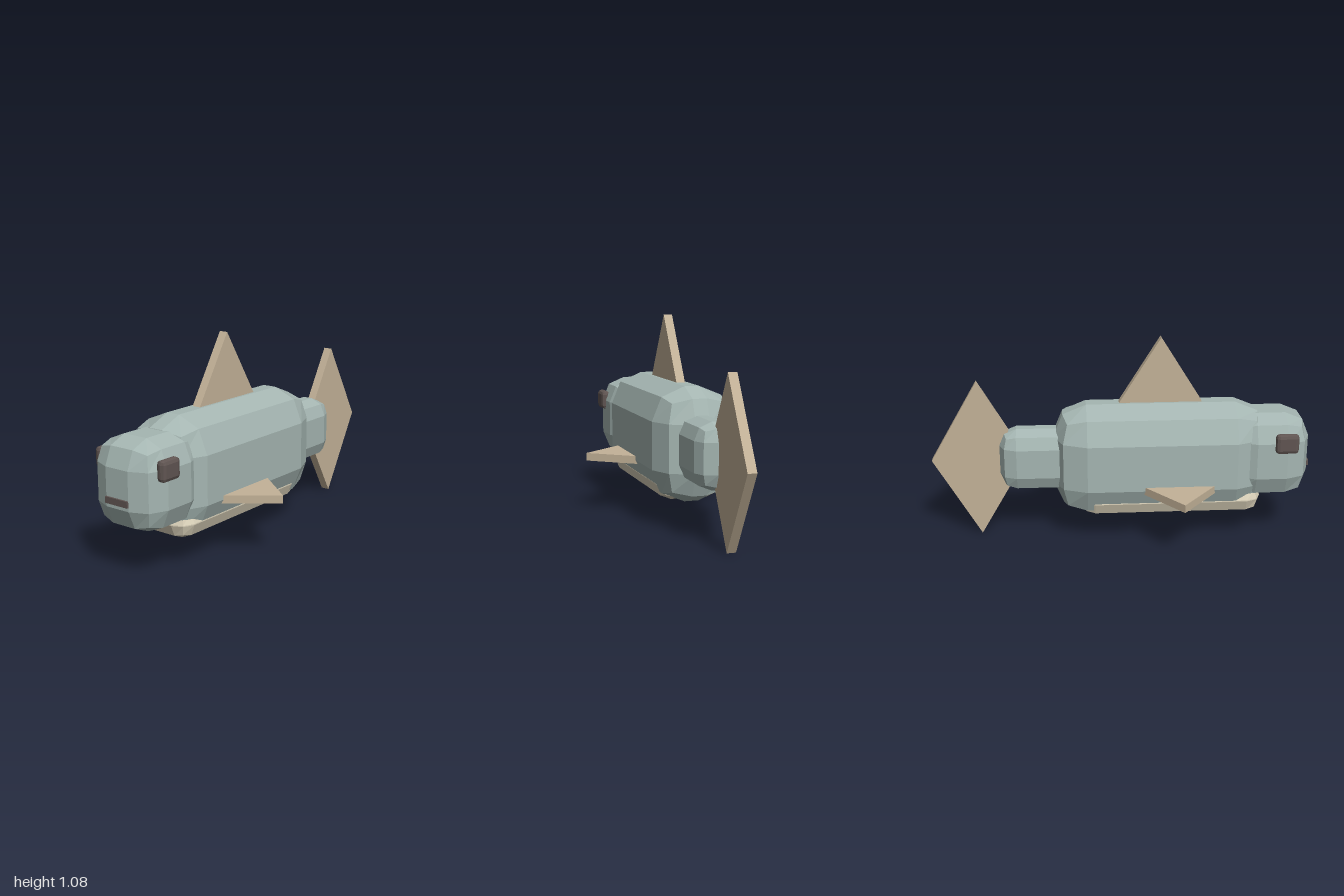
import * as THREE from 'three';
import { RoundedBoxGeometry } from 'three/addons/geometries/RoundedBoxGeometry.js';

const material = (name, color) => {
  const m = new THREE.MeshStandardMaterial({ color, flatShading: true });
  m.name = name;
  return m;
};

export function createModel() {
  const fish = new THREE.Group();
  fish.name = 'fish';
  const skin = material('greyGreenSkin', 0xa5b6b2);
  const finTan = material('tanFin', 0xc3b298);
  const cream = material('creamBelly', 0xdbd2ba);
  const dark = material('darkBrown', 0x605552);

  const add = (name, geometry, mat, x = 0, y = 0, z = 0) => {
    const mesh = new THREE.Mesh(geometry, mat);
    mesh.name = name;
    mesh.position.set(x, y, z);
    fish.add(mesh);
    return mesh;
  };
  // Chunky block with one bevel step on every edge
  const block = (name, mat, [w, h, d], radius, [x, y, z]) =>
    add(name, new RoundedBoxGeometry(w, h, d, 1, radius), mat, x, y, z);
  // Flat plate of even thickness, centred on its own plane
  const plate = (points, thickness) => {
    const shape = new THREE.Shape(points.map(([x, y]) => new THREE.Vector2(x, y)));
    return new THREE.ExtrudeGeometry(shape, { depth: thickness, bevelEnabled: false })
      .translate(0, 0, -thickness / 2);
  };

  // Body, head, tail root and belly
  block('body', skin, [1.13, 0.6, 0.426], 0.175, [-0.207, 0.428, 0]);
  block('head', skin, [0.42, 0.454, 0.4], 0.13, [-0.78, 0.447, 0]);
  block('tailRoot', skin, [0.44, 0.336, 0.232], 0.09, [0.42, 0.428, 0]);
  block('belly', cream, [0.96, 0.165, 0.36], 0.08, [-0.257, 0.219, 0]);

  // Dorsal fin and diamond tail fin
  add('dorsalFin', plate([[-0.504, 0.6], [0.09, 0.6], [-0.207, 1.075]], 0.047), finTan);
  add('tailFin', plate([[0.503, 0.426], [0.75, 0], [0.997, 0.426], [0.75, 0.852]], 0.047), finTan);

  // Side fins and eyes, mirrored
  for (const side of [1, -1]) {
    const label = side > 0 ? 'front' : 'back';
    const fin = plate([[-0.269, 0.1], [0.269, 0.1], [0, 0.44]], 0.042);
    fin.rotateX(side * Math.PI / 2);
    add(label + 'SideFin', fin, finTan, -0.297, 0.303, 0);
    block(label + 'Eye', dark, [0.122, 0.106, 0.05], 0.02, [-0.852, 0.545, side * 0.196]);
  }

  // Mouth
  add('mouth', new THREE.BoxGeometry(0.03, 0.032, 0.14), dark, -0.985, 0.386, 0);

  return fish;
}
